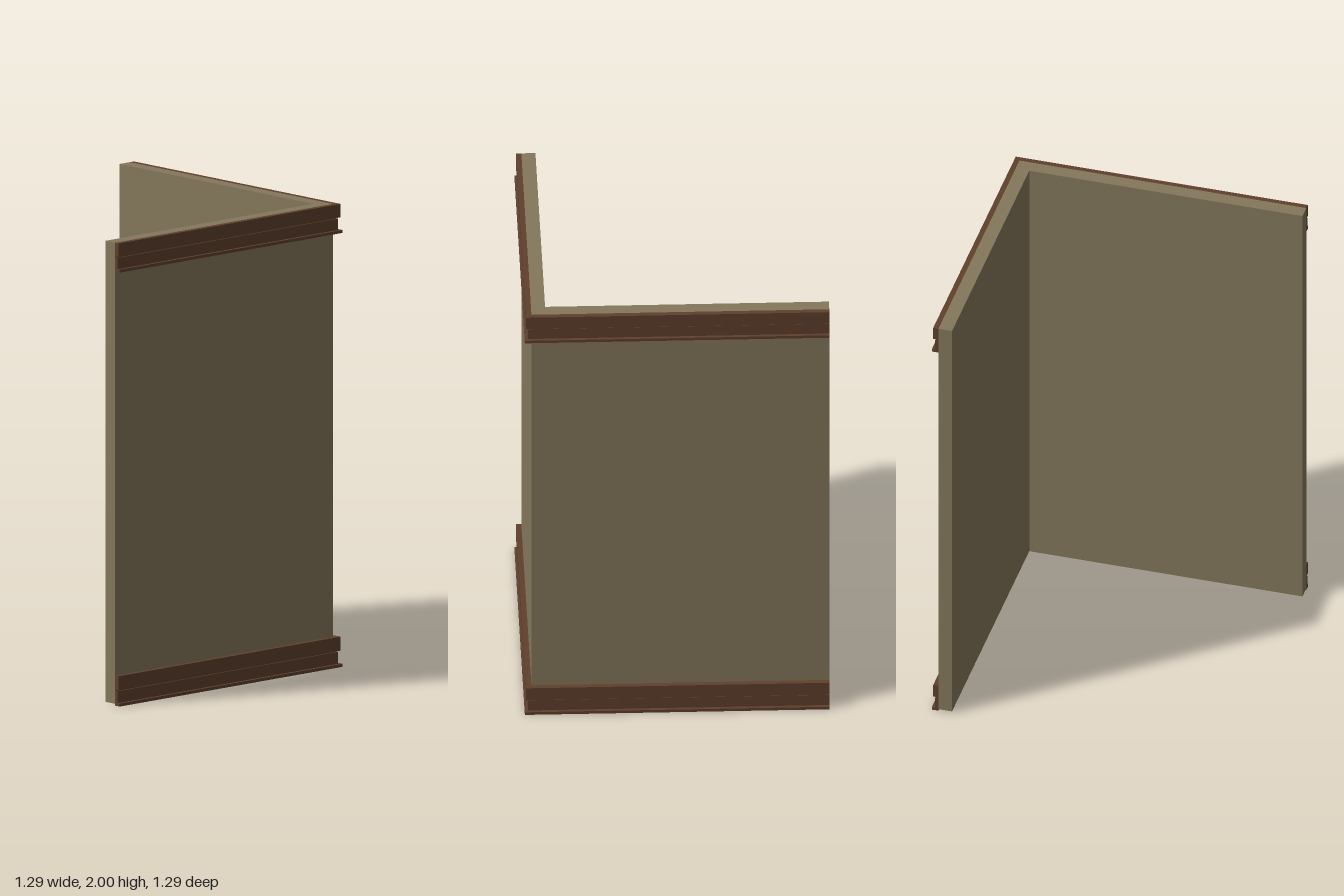
import * as THREE from 'three';

const END = 0.647;   // free ends of both wings
const FACE = 0.617;  // outer wall face

const wallPaint = new THREE.MeshStandardMaterial({ color: 0x84785c });
wallPaint.name = 'olive wall paint';
const wood = new THREE.MeshStandardMaterial({ color: 0x5f402c });
wood.name = 'brown wood';

// L-shaped slab between two offsets from the centre, corner at +x, -z
function cornerSlab(name, inner, outer, bottom, top, material) {
  const shape = new THREE.Shape([
    [-END, -outer], [outer, -outer], [outer, END],
    [inner, END], [inner, -inner], [-END, -inner],
  ].map(([x, z]) => new THREE.Vector2(x, z)));
  const geometry = new THREE.ExtrudeGeometry(shape, { depth: top - bottom, bevelEnabled: false });
  geometry.rotateX(Math.PI / 2).translate(0, top, 0);
  const mesh = new THREE.Mesh(geometry, material);
  mesh.name = name;
  return mesh;
}

// Stepped moulding: [name, bottom, top, outer offset]
const steps = [
  ['lip', 0, 0.013, 0.646],
  ['lowerBand', 0.013, 0.064, 0.632],
  ['groove', 0.064, 0.070, 0.625],
  ['upperBand', 0.070, 0.130, 0.640],
];

function moulding(name, base, height) {
  const group = new THREE.Group();
  group.name = name;
  const s = height / 0.13;
  for (const [part, bottom, top, outer] of steps) {
    group.add(cornerSlab(part, FACE, outer, base + bottom * s, base + top * s, wood));
  }
  return group;
}

export function createModel() {
  const model = new THREE.Group();
  model.name = 'cornerWall';
  model.add(cornerSlab('wall', 0.557, FACE, 0.008, 2, wallPaint));
  model.add(moulding('baseboard', 0, 0.13));
  model.add(moulding('crownMoulding', 1.875, 0.125));
  return model;
}
